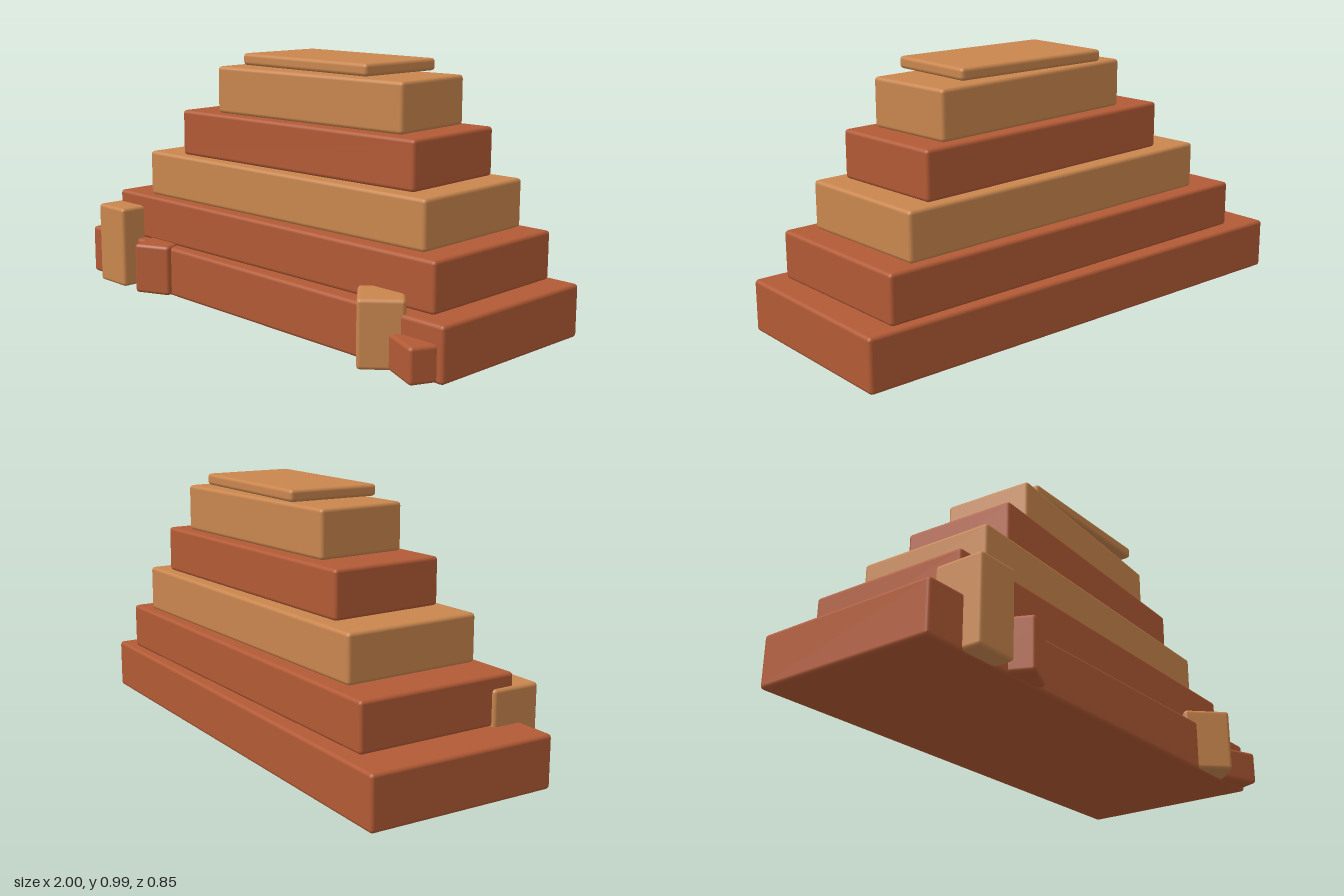
import * as THREE from 'three';
import { RoundedBoxGeometry } from 'three/addons/geometries/RoundedBoxGeometry.js';

export function createModel() {
  const group = new THREE.Group();
  const clay = new THREE.MeshStandardMaterial({ color: 0xb25a35 });
  clay.name = 'redClay';
  const sand = new THREE.MeshStandardMaterial({ color: 0xc9864e });
  sand.name = 'sandstone';

  // Softly bevelled block standing at height y0
  function block(name, material, [w, h, d], [x, y0, z], turn = 0, bevel = 0.014) {
    const mesh = new THREE.Mesh(new RoundedBoxGeometry(w, h, d, 2, bevel), material);
    mesh.name = name;
    mesh.position.set(x, y0 + h / 2, z);
    mesh.rotation.y = turn;
    group.add(mesh);
  }

  // Five stacked tiers, each smaller, shifted and twisted a little more
  const bottoms = [0, 0.2, 0.384, 0.567, 0.75, 0.935];
  for (let i = 0; i < 5; i++) {
    const height = bottoms[i + 1] - bottoms[i];
    block(`tier${i + 1}`, i === 2 || i === 4 ? sand : clay,
      [2 - 0.27 * i, height, 0.75 - 0.095 * i],
      [0.0325 * i, bottoms[i], -0.05], 0.02 * i);
  }

  // Thin cap slab hovering just above the top tier
  block('capSlab', sand, [0.665, 0.046, 0.375], [0.132, 0.945, -0.052]);

  // Loose blocks along the front
  block('tallFrontBlock', sand, [0.175, 0.331, 0.2], [-0.753, 0.004, 0.297]);
  block('rightFrontBlock', clay, [0.158, 0.204, 0.155], [-0.532, 0.004, 0.307], 0.43);
  block('leftFrontBlock', sand, [0.165, 0.246, 0.185], [0.707, 0.004, 0.302], 0.75);
  block('smallFrontBlock', clay, [0.17, 0.13, 0.115], [0.88, 0.004, 0.328], -0.4);

  return group;
}
